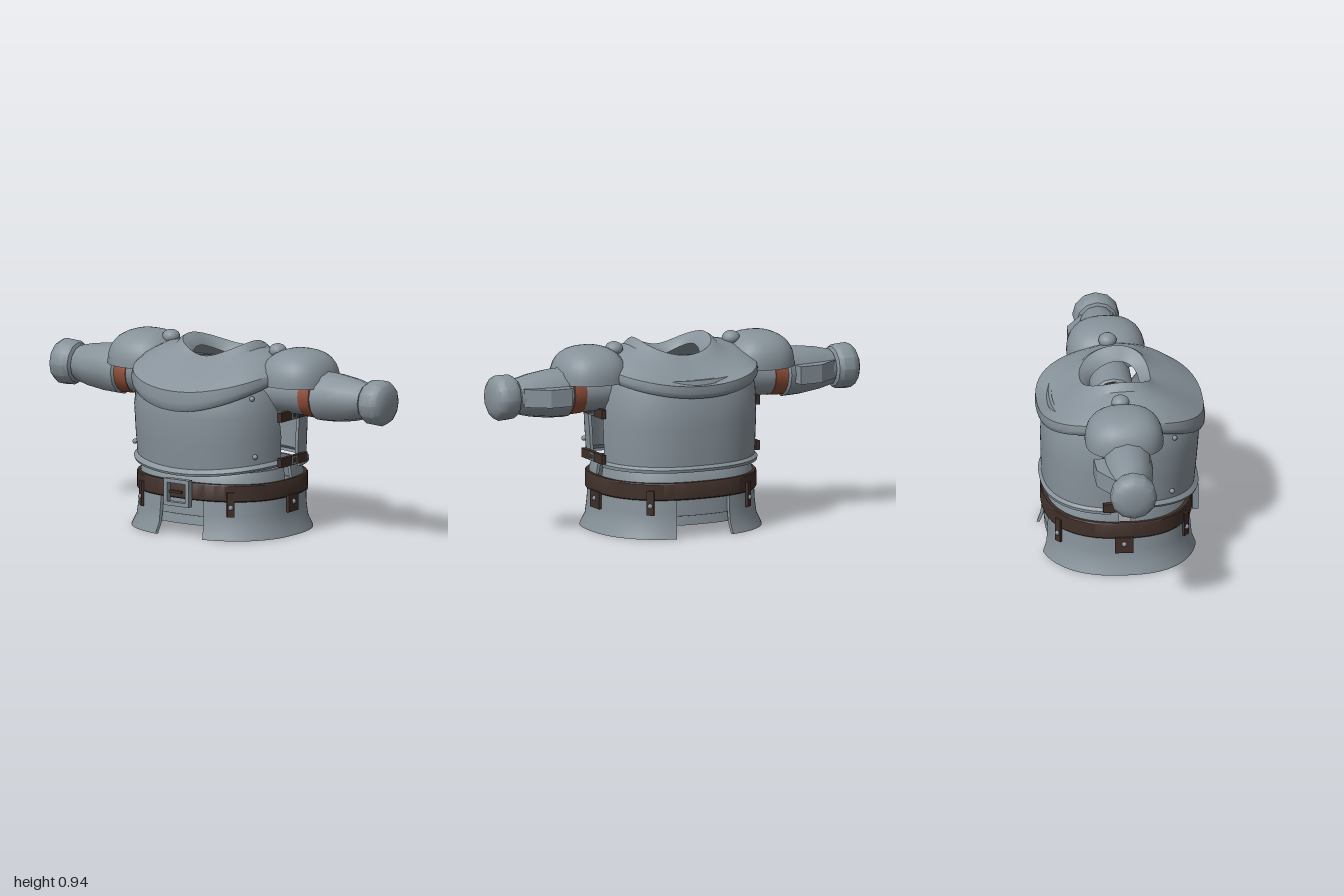
import * as THREE from 'three';
import { toCreasedNormals } from 'three/addons/utils/BufferGeometryUtils.js';

const paint = (name, color) => {
  const m = new THREE.MeshStandardMaterial({ color, side: THREE.DoubleSide });
  m.name = name;
  return m;
};

// Point on a squared-off oval; angle 0 is the front, PI/2 is +x
function oval(a, rx, zf, zb, e = 2.4) {
  const s = Math.sin(a), c = Math.cos(a);
  const r = (Math.abs(s / rx) ** e + Math.abs(c / (c > 0 ? zf : zb)) ** e) ** (-1 / e);
  return [r * s, r * c];
}

// Thick curved plate. Rows run from bottom to top:
// [rx, zFront, zBack, ySide, yFront, yBack, halfAngle]
function plate(rows, centre = 0, { t = 0.015, dy = 0, n = 48, e = 2.4 } = {}) {
  const m = rows.length, loop = 2 * m, pos = [], idx = [];
  for (let i = 0; i <= n; i++) {
    for (let k = 0; k < loop; k++) {
      const inner = k >= m;
      const [rx, zf, zb, ys, yf, yb, half] = rows[inner ? loop - 1 - k : k];
      const a = centre + half * (2 * i / n - 1), c = Math.cos(a), d = inner ? t : 0;
      const [x, z] = oval(a, rx - d, zf - d, zb - d, e);
      pos.push(x, ys + ((c > 0 ? yf : yb) - ys) * c * c - (inner ? dy : 0), z);
    }
  }
  const quad = (a, b, c, d) => idx.push(a, b, c, a, c, d);
  for (let i = 0; i < n; i++) {
    for (let k = 0; k < loop; k++) {
      const l = (k + 1) % loop, p = i * loop, q = p + loop;
      quad(p + k, q + k, q + l, p + l);
    }
  }
  // End caps for plates that do not go all the way round
  if (rows[0][6] < Math.PI - 0.01) {
    for (let j = 0; j < m - 1; j++) {
      const o = j, inn = loop - 1 - j, b = n * loop;
      quad(inn, o, o + 1, inn - 1);
      quad(b + o, b + inn, b + inn - 1, b + o + 1);
    }
  }
  const g = new THREE.BufferGeometry();
  g.setAttribute('position', new THREE.Float32BufferAttribute(pos, 3));
  g.setIndex(idx);
  return toCreasedNormals(g, 0.6);
}

// Turned part lying along x, from [x, radius] pairs
function turned(points, sides = 12) {
  const g = new THREE.LatheGeometry(points.map(([x, r]) => new THREE.Vector2(r, x)), sides);
  return toCreasedNormals(g.rotateZ(-Math.PI / 2), 0.6);
}

// Rectangular buckle frame facing +z
function frame(w, h, bar, depth) {
  const rect = (S, x, y) => new S([[-x, -y], [x, -y], [x, y], [-x, y]].map(p => new THREE.Vector2(...p)));
  const s = rect(THREE.Shape, w / 2, h / 2);
  s.holes.push(rect(THREE.Path, w / 2 - bar, h / 2 - bar));
  return new THREE.ExtrudeGeometry(s, { depth, bevelEnabled: false });
}

export function createModel() {
  const steel = paint('steel', 0x87929a);
  const leather = paint('dark leather', 0x40302a);
  const tan = paint('tan leather', 0x8f4e38);
  const model = new THREE.Group();
  model.name = 'torsoArmour';
  const add = (name, geo, mat, parent = model, x = 0, y = 0, z = 0) => {
    const mesh = new THREE.Mesh(geo, mat);
    mesh.name = name;
    mesh.position.set(x, y, z);
    parent.add(mesh);
    return mesh;
  };
  const PI = Math.PI, deg = PI / 180;

  // Flared skirt: a panel each side, notched at front and back
  const flare = [[0, 0.44, 0.37, 0.41], [0.012, 0.436, 0.367, 0.406], [0.055, 0.414, 0.35, 0.392],
    [0.12, 0.405, 0.344, 0.386], [0.2, 0.4, 0.338, 0.384]];
  for (const s of [1, -1]) {
    add(s > 0 ? 'leftSkirt' : 'rightSkirt', plate(flare.map(([y, rx, zf, zb]) =>
      [rx, zf, zb, y, y, y, PI / 2 - 0.37]), s * PI / 2), steel);
  }
  add('skirtLining', plate([[0.06, 0.385], [0.105, 0.38], [0.107, 0.387], [0.21, 0.383]].map(([y, r]) =>
    [r, r - 0.06, r - 0.015, y, y, y, PI])), steel);

  // Waist bands above the belt, open at the sides
  const band = half => [[0.4, 0.338, 0.384, 0.19, 0.19, 0.19, half], [0.395, 0.33, 0.37, 0.28, 0.28, 0.28, half],
    [0.385, 0.305, 0.345, 0.335, 0.315, 0.325, half]];
  add('frontWaistBand', plate(band(88 * deg)), steel);
  add('backWaistBand', plate(band(83.5 * deg), PI), steel);

  // Belt with buckle
  add('belt', plate([[0.19, 0], [0.195, 0.004], [0.27, 0.004], [0.276, 0]].map(([y, d]) =>
    [0.409 + d, 0.347 + d, 0.387 + d, y, y, y, PI]), 0, { t: 0.02 }), leather);
  add('beltBuckle', frame(0.15, 0.135, 0.02, 0.03), steel, model, -0.003, 0.222, 0.35);
  add('beltProng', new THREE.BoxGeometry(0.07, 0.012, 0.012), leather, model, -0.02, 0.222, 0.358);

  // Hanging tabs with rivets
  const rivet = new THREE.SphereGeometry(0.013, 12, 8);
  for (const s of [1, -1]) {
    for (const [a, w, y0, y1] of [[0.73, 0.036, 0.118, 0.24], [1.62, 0.09, 0.115, 0.2], [PI - 0.68, 0.036, 0.118, 0.24]]) {
      const [x, z] = oval(a, 0.415, 0.354, 0.395);
      const tab = add('beltTab', new THREE.BoxGeometry(w, y1 - y0, 0.014), leather, model, s * x, (y0 + y1) / 2, z);
      tab.rotation.y = s * a;
      add('tabRivet', rivet, steel, model, s * (x + 0.006 * Math.sin(a)), 0.164, z + 0.006 * Math.cos(a));
    }
  }

  // Breastplate and backplate with turned-out lower rims
  add('breastplate', plate([
    [0.412, 0.378, 0.4, 0.355, 0.31, 0.3, 81 * deg], [0.418, 0.382, 0.4, 0.367, 0.322, 0.3, 81 * deg],
    [0.404, 0.362, 0.4, 0.385, 0.342, 0.3, 81 * deg], [0.41, 0.374, 0.4, 0.5, 0.46, 0.4, 81 * deg],
    [0.414, 0.385, 0.4, 0.62, 0.6, 0.6, 78 * deg], [0.408, 0.375, 0.4, 0.72, 0.7, 0.7, 69 * deg],
    [0.38, 0.34, 0.4, 0.79, 0.76, 0.7, 63 * deg]]), steel);
  add('backplate', plate([
    [0.415, 0.4, 0.397, 0.328, 0.3, 0.328, 78 * deg], [0.417, 0.4, 0.4, 0.345, 0.3, 0.342, 78 * deg],
    [0.404, 0.4, 0.386, 0.358, 0.3, 0.356, 78 * deg], [0.412, 0.4, 0.39, 0.55, 0.5, 0.55, 78 * deg],
    [0.408, 0.4, 0.382, 0.7, 0.7, 0.7, 74 * deg], [0.38, 0.4, 0.35, 0.79, 0.7, 0.775, 68 * deg]], PI), steel);

  // Side straps and breastplate rivets
  for (const s of [1, -1]) {
    for (const y of [0.6, 0.373]) {
      add('sideStrap', new THREE.BoxGeometry(0.022, 0.046, 0.225), leather, model, s * 0.422, y, -0.012);
      const b = add('strapBuckle', frame(0.045, 0.04, 0.008, 0.008), steel, model, s * 0.43, y, -0.014);
      b.rotation.y = s * PI / 2;
    }
    for (const [y, a] of [[0.708, 0.98], [0.416, 1.02]]) {
      const [x, z] = oval(a, 0.414, 0.374, 0.4);
      add('plateRivet', rivet, steel, model, s * x, y, z);
    }
  }

  // Saddle-shaped collar with a raised neck rim
  add('collar', plate([
    [0.41, 0.412, 0.412, 0.79, 0.65, 0.71, PI], [0.412, 0.415, 0.415, 0.8, 0.68, 0.72, PI],
    [0.405, 0.408, 0.412, 0.825, 0.735, 0.757, PI], [0.37, 0.36, 0.36, 0.86, 0.762, 0.752, PI],
    [0.3, 0.27, 0.29, 0.895, 0.815, 0.8, PI], [0.225, 0.185, 0.235, 0.91, 0.855, 0.85, PI],
    [0.205, 0.16, 0.212, 0.935, 0.866, 0.868, PI], [0.19, 0.147, 0.2, 0.944, 0.872, 0.875, PI],
    [0.165, 0.125, 0.178, 0.925, 0.86, 0.86, PI], [0.14, 0.105, 0.158, 0.9, 0.84, 0.84, PI]],
  0, { t: 0.008, dy: 0.015, n: 64, e: 2.5 }), steel);

  // One arm, built on +x and mirrored
  for (const s of [1, -1]) {
    const arm = new THREE.Group();
    arm.name = s > 0 ? 'leftArm' : 'rightArm';
    arm.scale.x = s;
    model.add(arm);
    const y = 0.712, z = -0.026;
    add('upperArm', turned([[0.06, 0.1], [0.07, 0.11], [0.52, 0.108]], 16), steel, arm, 0, y, z);
    add('armStrap', turned([[0.515, 0.1], [0.517, 0.112], [0.583, 0.115], [0.59, 0.1]], 16), tan, arm, 0, y, z);
    add('forearm', turned([[0.585, 0], [0.585, 0.113], [0.595, 0.125], [0.68, 0.122], [0.78, 0.108],
      [0.86, 0.088], [0.875, 0]]), steel, arm, 0, y, z);
    add('gauntlet', turned([[0.86, 0.07], [0.872, 0.1], [0.895, 0.112], [0.95, 0.115], [0.978, 0.1],
      [0.993, 0.075], [1, 0.045], [1, 0]]), steel, arm, 0, y, z);

    // Ridge plate along the back of the forearm
    const ridge = new THREE.Shape([[0.615, 0.1], [0.625, 0.192], [0.74, 0.188], [0.85, 0.11], [0.85, 0.09]]
      .map(p => new THREE.Vector2(...p)));
    const ridgeGeo = new THREE.ExtrudeGeometry(ridge, { depth: 0.09, bevelEnabled: false });
    ridgeGeo.rotateX(-PI / 2);
    add('forearmRidge', ridgeGeo, steel, arm, 0, 0.67, 0);

    // Rounded shoulder dome
    const dome = new THREE.SphereGeometry(1, 28, 12, 0, 2 * PI, 0, PI / 2);
    const p = dome.attributes.position, v = new THREE.Vector3();
    for (let i = 0; i < p.count; i++) {
      v.fromBufferAttribute(p, i);
      const k = (Math.abs(v.x) ** 2.5 + Math.abs(v.y) ** 2.5 + Math.abs(v.z) ** 2.5) ** (-1 / 2.5);
      v.multiplyScalar(k);
      p.setXYZ(i, v.x * 0.18, v.y * 0.168, v.z * 0.193);
    }
    dome.computeVertexNormals();
    add('shoulderDome', dome, steel, arm, 0.457, 0.762, -0.025);

    // Knob fastening the collar to the shoulder
    const knob = add('collarKnob', new THREE.SphereGeometry(0.045, 16, 10), steel, arm, 0.32, 0.905, -0.03);
    knob.scale.y = 0.8;
  }
  return model;
}
